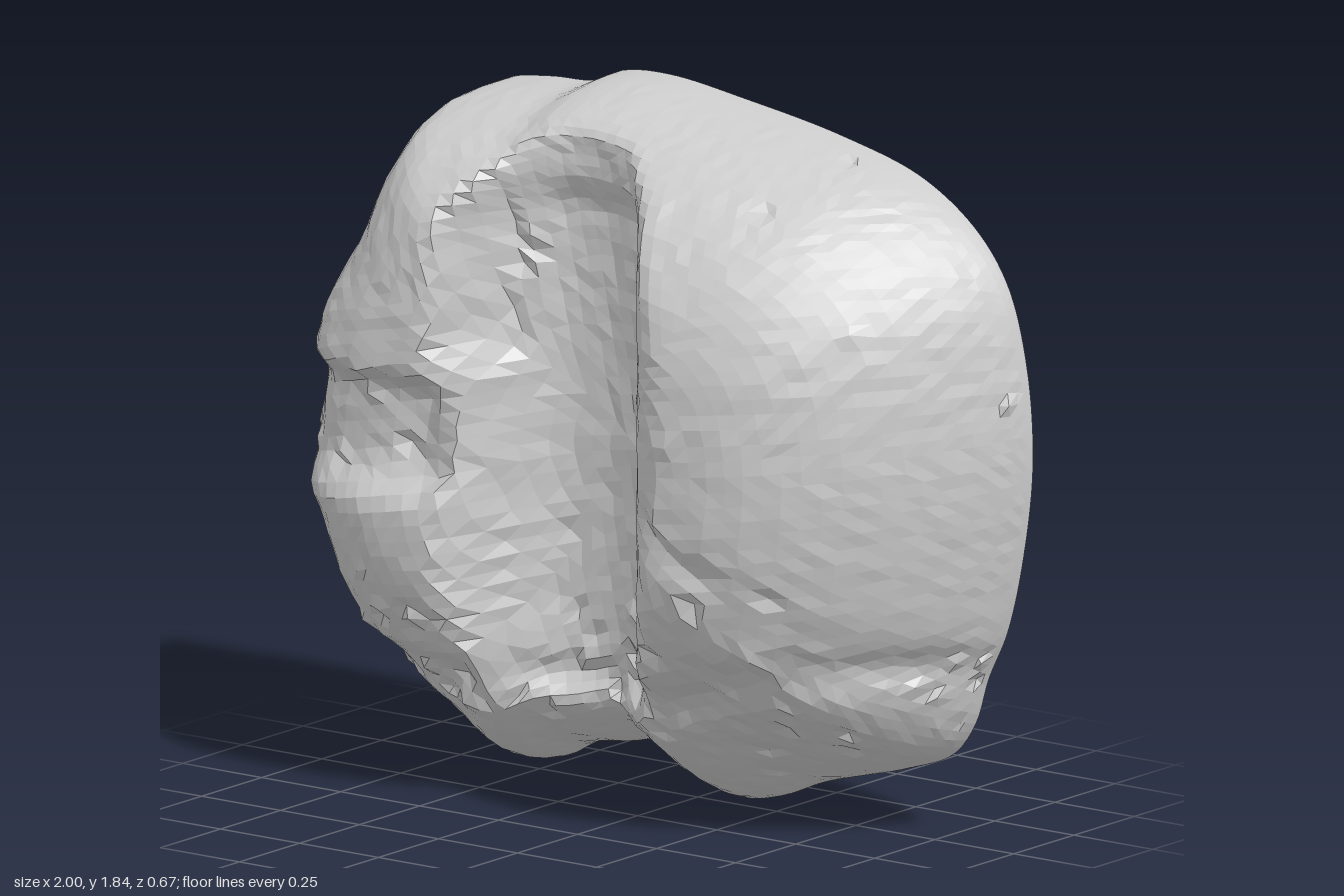
import * as THREE from 'three';

const BACK = -0.33, CY = 0.95, N = 60;

// silhouette, counter-clockwise from the lower point
const OUTLINE = [
  [0.1, 0.005], [0.2, 0.02], [0.35, 0.08], [0.6, 0.15], [0.75, 0.21], [0.82, 0.3], [0.86, 0.42], [0.92, 0.55],
  [0.97, 0.75], [1, 1], [0.98, 1.25], [0.92, 1.45], [0.82, 1.58], [0.65, 1.69], [0.4, 1.76], [0.1, 1.81],
  [-0.15, 1.84], [-0.3, 1.83], [-0.4, 1.79], [-0.55, 1.78], [-0.7, 1.75], [-0.78, 1.65], [-0.86, 1.45],
  [-0.95, 1.28], [-0.99, 1.1], [-1.02, 0.85], [-0.97, 0.65], [-0.91, 0.42], [-0.81, 0.27], [-0.65, 0.12],
  [-0.54, 0.025], [-0.48, 0.03], [-0.38, 0.08], [-0.25, 0.1], [-0.1, 0.13], [0, 0.06],
];

// depth across the width: left lobe, valley, right lobe
const SECTION = [
  [-1.1, 0.62], [-0.65, 0.65], [-0.44, 0.61], [-0.38, 0.53], [-0.34, 0.44], [-0.28, 0.39], [-0.2, 0.355],
  [-0.1, 0.345], [0, 0.365], [0.1, 0.46], [0.2, 0.6], [0.3, 0.67], [0.45, 0.67], [0.62, 0.62], [1.1, 0.6],
];

const step = THREE.MathUtils.smoothstep;
const band = (v, a, b, c, d) => step(v, a, b) * (1 - step(v, c, d));

function lookup(table, x) {
  let i = 1;
  while (i < table.length - 1 && table[i][0] < x) i++;
  const [x0, a] = table[i - 1], [x1, b] = table[i];
  return a + (b - a) * (x - x0) / (x1 - x0);
}

function smoothMin(a, b, k) {
  const h = Math.max(k - Math.abs(a - b), 0) / k;
  return Math.min(a, b) - h * h * k / 4;
}

function seeded(seed) {
  return () => {
    seed = (seed * 16807) % 2147483647;
    return seed / 2147483647;
  };
}

// rounding towards the rim; each side has its own curve
function rimFalloff(t, dx, dy) {
  const side = dx > 0 ? 1 - t ** 3.7 : Math.sqrt(1 - t ** 8);
  const end = dy > 0 ? Math.sqrt(1 - t ** 3.2) : (1 - t * t) ** 0.7;
  return side * dx * dx + end * dy * dy;
}

function reliefDepth(x, y, t, dx, dy) {
  let base = lookup(SECTION, x);
  // valley floor drops a little below the bridge at the top
  base -= 0.04 * band(x, -0.35, -0.22, 0, 0.1) * band(y, 0.25, 0.4, 1.55, 1.65);
  // hollow beside the upper left block
  base -= 0.06 * band(x, -0.48, -0.4, -0.36, -0.28) * band(y, 1.12, 1.22, 1.5, 1.68);
  let d = smoothMin(base, 0.68 * rimFalloff(t, dx, dy), 0.04);
  const fade = 1 - step(t, 0.92, 1);
  // socket under the brow ledge
  d -= 0.08 * fade * band(x, -1.1, -0.9, -0.5, -0.38) * band(y, 0.76, 0.9, 1.06, 1.14);
  // short curved scar on the broad lobe
  const arc = Math.hypot(x - 0.5, y - 1.05);
  d -= 0.02 * band(arc, 0.27, 0.31, 0.33, 0.37) * band(x, 0.15, 0.22, 0.42, 0.5) * (1 - step(y, 0.85, 0.95));
  // undercut ledges along the base
  const ledge = 0.38 + 0.14 * step(x, 0.1, 0.6);
  d -= 0.03 * fade * band(y, ledge - 0.14, ledge - 0.05, ledge - 0.03, ledge + 0.02);
  return Math.max(d, 0);
}

// walk around a square ring of half-size a, as a fraction from its bottom middle
function ringFraction(u, v, a) {
  if (a === 0) return 0;
  let s;
  if (v === -a) s = u / a / 8;
  else if (u === a) s = 0.25 + v / a / 8;
  else if (v === a) s = 0.5 - u / a / 8;
  else s = 0.75 - v / a / 8;
  return (s + 1) % 1;
}

function stoneGeometry() {
  const rand = seeded(71);
  const curve = new THREE.CatmullRomCurve3(OUTLINE.map(([x, y]) => new THREE.Vector3(x, y, 0)), true);
  curve.arcLengthDivisions = 600;
  const pos = [], index = [];
  const id = (i, j) => j * (N + 1) + i;

  // front relief: a square grid wrapped into the silhouette
  for (let j = 0; j <= N; j++) {
    for (let i = 0; i <= N; i++) {
      const u = 2 * i / N - 1, v = 2 * j / N - 1;
      const a = Math.max(Math.abs(u), Math.abs(v));
      const t = Math.sin(a * Math.PI / 2);
      const p = curve.getPointAt(ringFraction(u, v, a));
      const len = Math.hypot(p.x, p.y - CY);
      const dx = p.x / len, dy = (p.y - CY) / len;
      let x = p.x * t, y = CY + (p.y - CY) * t;
      let d = reliefDepth(x, y, t, dx, dy);
      // scattered chips, denser in the socket and along the base
      if (a < 0.93) {
        const rough = band(y, 0.74, 0.85, 1.1, 1.2) * (1 - step(x, -0.45, -0.3)) + band(y, 0.15, 0.25, 0.45, 0.6);
        const chip = rand() < 0.02 + 0.15 * rough ? 0.04 : 0.006;
        d += Math.max(chip * (rand() - 0.6), -d / 2);
        x += 0.5 * chip * (rand() - 0.5);
        y += 0.5 * chip * (rand() - 0.5);
      }
      // wall on the narrow lobe tucks in towards the back
      if (dx < 0 && t > 0.8) x += 0.07 * dx * dx * (1 - step(d, 0, 0.25));
      pos.push(x, y, BACK + d);
    }
  }
  for (let j = 0; j < N; j++) {
    for (let i = 0; i < N; i++) {
      const a = id(i, j), b = id(i + 1, j), c = id(i + 1, j + 1), e = id(i, j + 1);
      if ((i < N / 2) === (j < N / 2)) index.push(a, b, c, a, c, e);
      else index.push(a, b, e, b, c, e);
    }
  }

  // flat back
  const centre = pos.length / 3;
  pos.push(0, CY, BACK);
  for (let k = 0; k < N; k++) {
    index.push(centre, id(k + 1, 0), id(k, 0), centre, id(N, k + 1), id(N, k));
    index.push(centre, id(k, N), id(k + 1, N), centre, id(0, k), id(0, k + 1));
  }

  const geo = new THREE.BufferGeometry();
  geo.setAttribute('position', new THREE.Float32BufferAttribute(pos, 3));
  geo.setIndex(index);
  geo.computeVertexNormals();
  return geo;
}

export function createModel() {
  const group = new THREE.Group();
  group.name = 'carvedStone';
  const stone = new THREE.Mesh(
    stoneGeometry(),
    new THREE.MeshStandardMaterial({ color: 0xcccccc, flatShading: true }),
  );
  stone.name = 'stoneBody';
  group.add(stone);
  return group;
}
